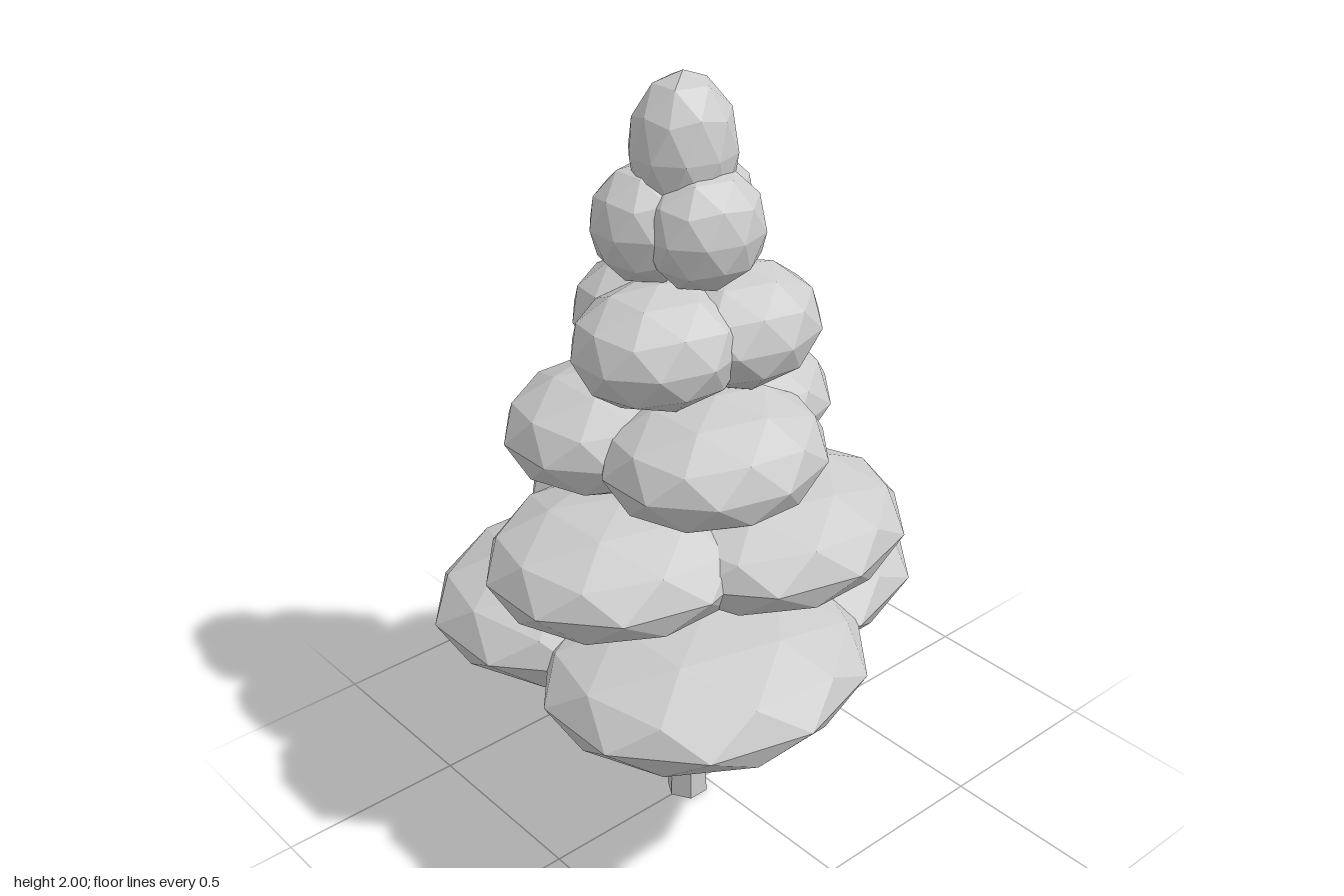
import * as THREE from 'three';

const AXIS_X = -0.06; // trunk axis

// Low-poly ball with a vertex at each pole and a ten-sided equator
function ballGeometry() {
  const geo = new THREE.IcosahedronGeometry(1, 1);
  geo.rotateZ(-Math.atan(2 / (1 + Math.sqrt(5))));
  return geo;
}

export function createModel() {
  const tree = new THREE.Group();
  tree.name = 'tree';
  const grey = new THREE.MeshStandardMaterial({ color: 0xcccccc, flatShading: true });
  grey.name = 'light grey';
  const ball = ballGeometry();

  const addClump = (parent, name, position, size) => {
    const clump = new THREE.Mesh(ball, grey);
    clump.name = name;
    clump.position.set(...position);
    clump.scale.set(...size);
    parent.add(clump);
  };

  // Tapered six-sided trunk, one corner towards +x
  const trunkGeo = new THREE.CylinderGeometry(0.04, 0.056, 0.6, 6);
  trunkGeo.rotateY(Math.PI / 2);
  const trunk = new THREE.Mesh(trunkGeo, grey);
  trunk.name = 'trunk';
  trunk.position.set(AXIS_X, 0.3, 0);
  tree.add(trunk);

  // Five tiers of three clumps, each tier smaller and turned by 67 degrees
  for (let i = 0; i < 5; i++) {
    const tier = new THREE.Group();
    tier.name = `foliageTier${i + 1}`;
    const reach = 0.262 - 0.047 * i;
    const size = [0.43 - 0.0693 * i, 0.154 - 0.002 * i, 0.371 - 0.0588 * i];
    for (let k = 0; k < 3; k++) {
      const a = THREE.MathUtils.degToRad(67 * i + 120 * k);
      const position = [AXIS_X + reach * Math.cos(a), 0.605 + 0.2625 * i, -reach * Math.sin(a)];
      addClump(tier, `clump${k + 1}`, position, size);
    }
    tree.add(tier);
  }

  // Tall clump at the tip
  addClump(tree, 'treeTop', [AXIS_X, 1.82, 0], [0.132, 0.18, 0.123]);
  return tree;
}
